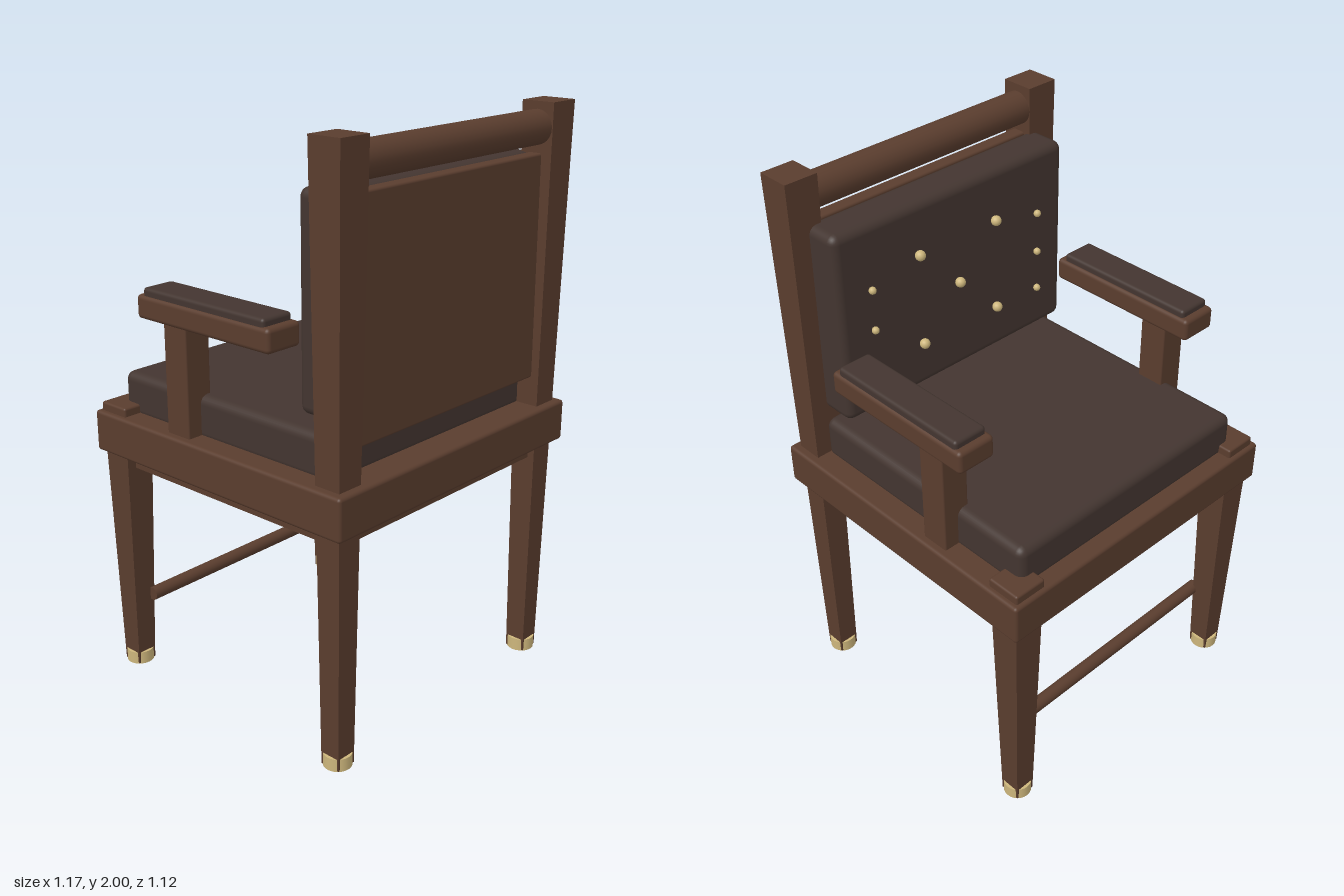
import * as THREE from 'three';
import { RoundedBoxGeometry } from 'three/addons/geometries/RoundedBoxGeometry.js';

const wood = new THREE.MeshStandardMaterial({ color: 0x5a3d2e });
const woodFlat = new THREE.MeshStandardMaterial({ color: 0x5a3d2e, flatShading: true });
const leather = new THREE.MeshStandardMaterial({ color: 0x433530 });
const brass = new THREE.MeshStandardMaterial({ color: 0xcdb67c });

export function createModel() {
  const chair = new THREE.Group();
  chair.name = 'armchair';

  function add(name, geometry, material, x, y, z) {
    const mesh = new THREE.Mesh(geometry, material);
    mesh.name = name;
    mesh.position.set(x, y, z);
    chair.add(mesh);
  }

  // Box given by its limits on each axis, with softened edges
  function block(name, material, [x0, x1], [y0, y1], [z0, z1], radius) {
    const geometry = new RoundedBoxGeometry(x1 - x0, y1 - y0, z1 - z0, 3, radius);
    add(name, geometry, material, (x0 + x1) / 2, (y0 + y1) / 2, (z0 + z1) / 2);
  }

  // Square post that narrows towards the floor
  function taperedPost(name, topWidth, bottomWidth, y0, y1, x, z) {
    const geometry = new THREE.CylinderGeometry(
      topWidth * Math.SQRT1_2, bottomWidth * Math.SQRT1_2, y1 - y0, 4);
    geometry.rotateY(Math.PI / 4);
    add(name, geometry, woodFlat, x, (y0 + y1) / 2, z);
  }

  function crossBar(name, radius, length, y, z) {
    const geometry = new THREE.CylinderGeometry(radius, radius, length, 24);
    geometry.rotateZ(Math.PI / 2);
    add(name, geometry, wood, 0, y, z);
  }

  // Seat frame and cushion
  block('seatFrame', wood, [-0.583, 0.583], [0.825, 0.97], [-0.562, 0.562], 0.012);
  block('seatCushion', leather, [-0.5, 0.5], [0.95, 1.105], [-0.5, 0.45], 0.03);

  // Apron strips under the frame
  for (const s of [-1, 1]) {
    add('sideApron', new THREE.BoxGeometry(0.04, 0.07, 0.9), wood, s * 0.505, 0.81, 0);
    add('endApron', new THREE.BoxGeometry(0.94, 0.07, 0.04), wood, 0, 0.81, s * 0.485);
  }

  // Backrest
  block('backPanel', wood, [-0.465, 0.465], [1.07, 1.835], [0.455, 0.505], 0.008);
  block('backCushion', leather, [-0.495, 0.495], [1.15, 1.835], [0.314, 0.46], 0.03);
  crossBar('topRail', 0.057, 0.92, 1.918, 0.484);
  crossBar('frontStretcher', 0.024, 0.96, 0.273, -0.432);

  // Legs, arms: mirrored left and right
  for (const s of [-1, 1]) {
    const span = (a, b) => (s > 0 ? [a, b] : [-b, -a]);
    taperedPost('backPost', 0.12, 0.073, 0.008, 2, s * 0.505, 0.485);
    taperedPost('frontLeg', 0.116, 0.073, 0.008, 0.98, s * 0.505, -0.485);
    block('frontLegCap', wood, span(0.445, 0.565), [0.95, 1.0], [-0.547, -0.425], 0.008);

    // Round brass ferrules, with the leg corners just showing through
    for (const z of [0.485, -0.485]) {
      add('footFerrule', new THREE.CylinderGeometry(0.048, 0.048, 0.045, 24), brass,
        s * 0.505, 0.0275, z);
    }

    block('armSupport', wood, span(0.455, 0.555), [0.96, 1.35], [-0.218, -0.115], 0.006);
    block('armRest', wood, span(0.435, 0.575), [1.34, 1.42], [-0.323, 0.272], 0.015);
    block('armPad', leather, span(0.445, 0.567), [1.405, 1.445], [-0.298, 0.245], 0.012);
  }

  // Studs on the back cushion: five large in a quincunx, three small each side
  const largeStud = new THREE.SphereGeometry(0.018, 16, 12);
  const smallStud = new THREE.SphereGeometry(0.013, 12, 8);
  add('largeStud', largeStud, brass, 0, 1.49, 0.301);
  for (const s of [-1, 1]) {
    for (const y of [1.322, 1.658]) add('largeStud', largeStud, brass, s * 0.167, y, 0.301);
    for (const y of [1.315, 1.462, 1.61]) add('smallStud', smallStud, brass, s * 0.365, y, 0.305);
  }

  return chair;
}
